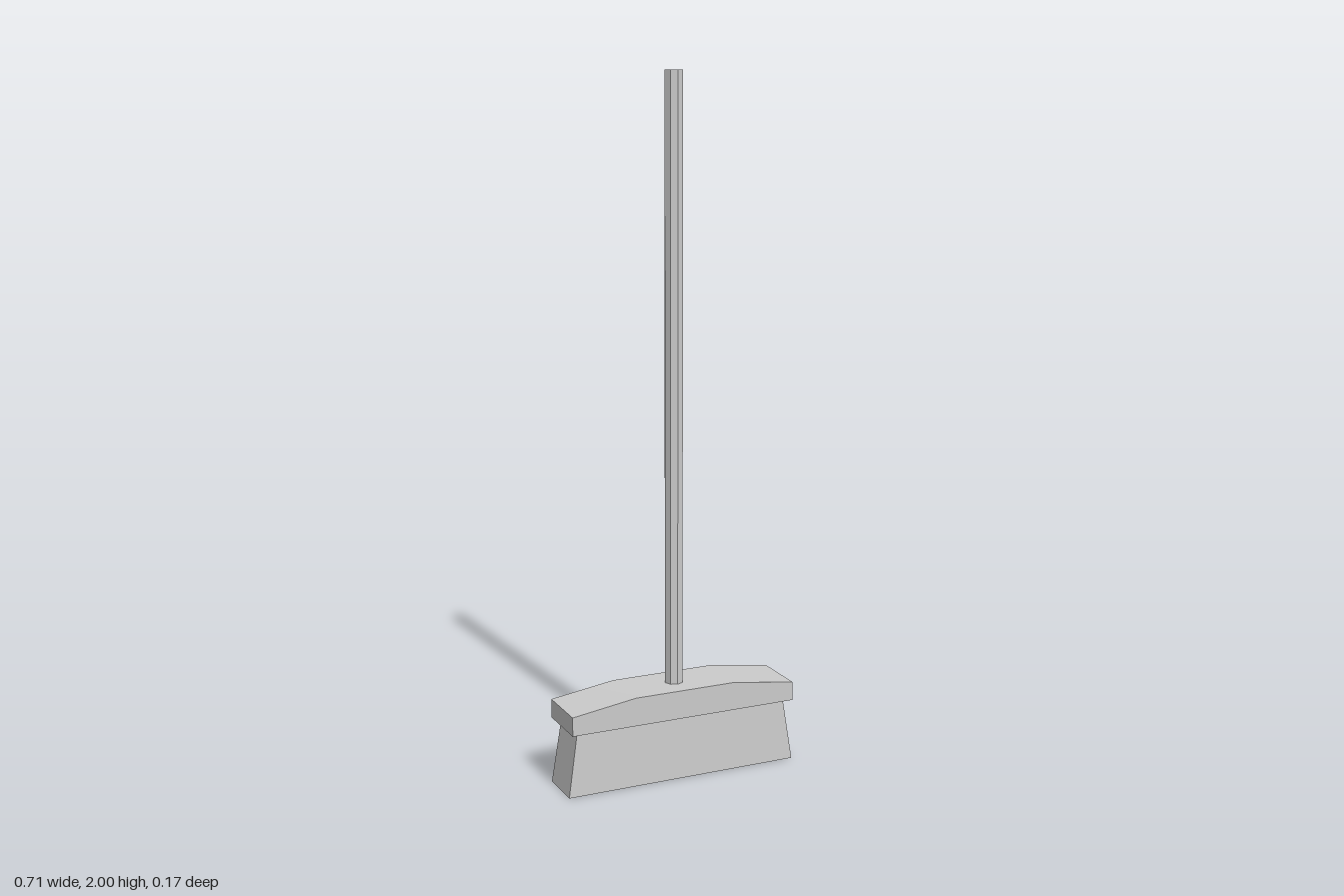
import * as THREE from 'three';
import { toCreasedNormals } from 'three/addons/utils/BufferGeometryUtils.js';

export function createModel() {
  const model = new THREE.Group();
  model.name = 'broom';
  const smooth = new THREE.MeshStandardMaterial({ color: 0xcccccc });
  const faceted = new THREE.MeshStandardMaterial({ color: 0xcccccc, flatShading: true });

  const add = (name, geometry, material) => {
    const mesh = new THREE.Mesh(geometry, material);
    mesh.name = name;
    model.add(mesh);
    return mesh;
  };

  // Eight-sided handle, set slightly into the head
  const handleBottom = 0.25, handleTop = 2;
  add('handle', new THREE.CylinderGeometry(0.027, 0.027, handleTop - handleBottom, 8), faceted)
    .position.y = (handleBottom + handleTop) / 2;

  // Head block: flat in the middle, sloping down towards both ends
  const headDepth = 0.165;
  const profile = new THREE.Shape([
    [-0.347, 0.187], [0.347, 0.187], [0.347, 0.242],
    [0.155, 0.27], [-0.155, 0.27], [-0.347, 0.242],
  ].map(([x, y]) => new THREE.Vector2(x, y)));
  const head = new THREE.ExtrudeGeometry(profile, { depth: headDepth, bevelEnabled: false });
  head.translate(0, 0, -headDepth / 2);
  add('headBlock', toCreasedNormals(head, 0.4), smooth);

  // Bristle block, flaring out towards the floor
  const height = 0.19;
  const bristles = new THREE.BoxGeometry(2, height, 2);
  bristles.translate(0, height / 2, 0);
  const p = bristles.attributes.position;
  for (let i = 0; i < p.count; i++) {
    const top = p.getY(i) > height / 2;
    p.setX(i, p.getX(i) * (top ? 0.325 : 0.354));
    p.setZ(i, p.getZ(i) * (top ? 0.061 : 0.068));
  }
  bristles.computeVertexNormals();
  add('bristles', bristles, faceted);

  return model;
}
